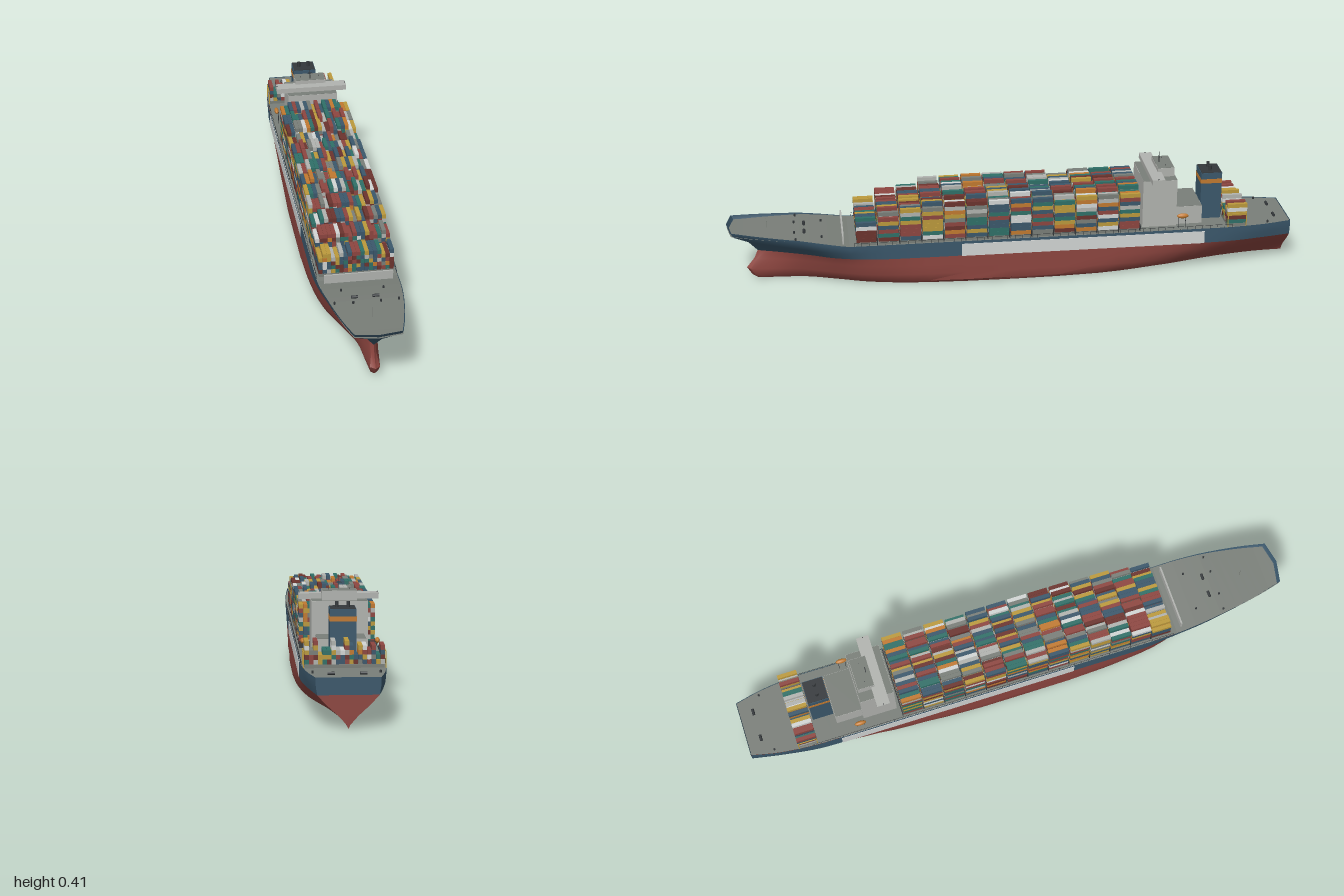
import * as THREE from 'three';
import { mergeGeometries, toCreasedNormals } from 'three/addons/utils/BufferGeometryUtils.js';

const paint = (name, color, side = THREE.FrontSide) => {
  const m = new THREE.MeshStandardMaterial({ color, side });
  m.name = name;
  return m;
};

const BEAM = 0.136;
const WATERLINE = 0.105;
const lerp = THREE.MathUtils.lerp;

// Height of the hull's upper edge, rising to the bow
function sheer(z) {
  if (z < 0.58) return 0.16;
  if (z < 0.74) return lerp(0.16, 0.186, (z - 0.58) / 0.16);
  return lerp(0.186, 0.21, (z - 0.74) / 0.26);
}
// The deck sinks behind a bulwark towards the bow
const deckHeight = z => sheer(z) - THREE.MathUtils.clamp((z - 0.6) * 0.04, 0.002, 0.014);

// Half-breadths as fractions of the beam, one list per waterline, stern to bow
const STATIONS = [-1, -0.9, -0.75, -0.55, -0.3, 0.3, 0.5, 0.65, 0.78, 0.9, 0.985];
const LINES = [
  { y: 0, stem: 0.9, w: [0, 0.03, 0.2, 0.55, 0.87, 0.87, 0.66, 0.37, 0.13, 0.06, 0.04] },
  { y: 0.012, stem: 0.918, w: [0.04, 0.12, 0.34, 0.73, 0.96, 0.96, 0.78, 0.48, 0.2, 0.13, 0.09] },
  { y: 0.04, stem: 0.936, w: [0.22, 0.35, 0.59, 0.9, 1, 1, 0.87, 0.58, 0.28, 0.18, 0.12] },
  { y: 0.075, stem: 0.908, w: [0.5, 0.66, 0.86, 0.98, 1, 1, 0.92, 0.66, 0.34, 0.14, 0.06] },
  { y: WATERLINE, stem: 0.895, w: [0.7, 0.84, 0.99, 1, 1, 1, 0.96, 0.78, 0.46, 0.2, 0.04] },
  { rise: 0.45, stem: 0.938, w: [0.73, 0.88, 1, 1, 1, 1, 0.99, 0.9, 0.69, 0.42, 0.2] },
  { rise: 0.83, stem: 0.988, w: [0.74, 0.9, 1, 1, 1, 1, 1, 0.97, 0.86, 0.7, 0.55] },
  { rise: 1, stem: 1, w: [0.74, 0.9, 1, 1, 1, 1, 1, 0.97, 0.87, 0.72, 0.57] },
];

// Smooth waterline, closed to the centreline at the transom and the stem
function waterline({ y, rise, stem, w }) {
  const place = s => (s < 0.5 ? s : 0.5 + (s - 0.5) * 2 * (stem - 0.5));
  const curve = new THREE.CatmullRomCurve3(
    STATIONS.map((s, i) => new THREE.Vector3(w[i] * BEAM, 0, place(s))));
  const pts = curve.getPoints((STATIONS.length - 1) * 4);
  pts.unshift(new THREE.Vector3(0, 0, -1));
  pts.push(new THREE.Vector3(0, 0, stem));
  for (const p of pts) {
    p.x = THREE.MathUtils.clamp(p.x, 0, BEAM);
    p.y = rise === undefined ? y : lerp(WATERLINE, sheer(p.z), rise);
  }
  return pts;
}

function fromPoints(points) {
  const g = new THREE.BufferGeometry().setFromPoints(points);
  g.computeVertexNormals();
  return g;
}

// Skin between successive waterlines on both sides
function hullSkin(rows) {
  const tri = [];
  const flip = p => new THREE.Vector3(-p.x, p.y, p.z);
  for (let j = 0; j + 1 < rows.length; j++) {
    for (let i = 0; i + 1 < rows[j].length; i++) {
      const a = rows[j][i], b = rows[j + 1][i], c = rows[j][i + 1], d = rows[j + 1][i + 1];
      tri.push(a, b, c, c, b, d);
      tri.push(...[a, c, b, c, d, b].map(flip));
    }
  }
  return toCreasedNormals(fromPoints(tri), 0.7);
}

// Deck surface spanning the upper edge
function deckSkin(edge) {
  const tri = [];
  const at = (p, side) => new THREE.Vector3(side * p.x * 0.99, deckHeight(p.z), p.z * 0.998);
  for (let i = 0; i + 1 < edge.length; i++) {
    const p = at(edge[i], -1), q = at(edge[i], 1), r = at(edge[i + 1], -1), s = at(edge[i + 1], 1);
    tri.push(p, r, q, q, r, s);
  }
  return fromPoints(tri);
}

// Box given by its limits
function block(x0, x1, y0, y1, z0, z1) {
  return new THREE.BoxGeometry(x1 - x0, y1 - y0, z1 - z0)
    .translate((x0 + x1) / 2, (y0 + y1) / 2, (z0 + z1) / 2);
}

export function createModel() {
  const ship = new THREE.Group();
  ship.name = 'containerShip';
  const blue = paint('hull blue', 0x3b586c, THREE.DoubleSide);
  const red = paint('hull red', 0x8e4640, THREE.DoubleSide);
  const brown = paint('brown', 0x6c342e);
  const teal = paint('teal', 0x2f7068);
  const orange = paint('orange', 0xc27a30);
  const yellow = paint('yellow', 0xbc9a3c);
  const white = paint('white', 0xd3d6d5);
  const houseGrey = paint('house grey', 0xb2b4b0);
  const deckGrey = paint('deck grey', 0x7a7f79);
  const dark = paint('dark fittings', 0x34383b);

  const add = (name, geo, mat) => {
    const m = new THREE.Mesh(Array.isArray(geo) ? mergeGeometries(geo) : geo, mat);
    m.name = name;
    ship.add(m);
  };
  const bothSides = make => [make(1), make(-1)];
  const post = (x, z, y0, y1, t) => block(x - t / 2, x + t / 2, y0, y1, z - t / 2, z + t / 2);

  // Hull
  const rows = LINES.map(waterline);
  const keel = rows[0].map(p => new THREE.Vector3(0, 0, p.z));
  add('hullBottom', hullSkin([keel, rows[0]]), brown);
  add('lowerHull', hullSkin(rows.slice(0, 5)), red);
  add('upperHull', hullSkin(rows.slice(4)), blue);
  add('deck', deckSkin(rows[7]), deckGrey);
  add('sideStripes', bothSides(s => block(s * 0.1345 - 0.003, s * 0.1345 + 0.003, 0.104, 0.15, -0.68, 0.185)), white);

  // Side railings
  const rails = bothSides(s => block(s * 0.134 - 0.0005, s * 0.134 + 0.0005, 0.1705, 0.1715, -0.78, 0.56));
  for (let z = -0.78; z < 0.57; z += 0.0268) rails.push(...bothSides(s => post(s * 0.134, z, 0.157, 0.171, 0.0012)));
  add('sideRailings', rails, dark);

  // Container bays, hatch covers and lashing bridges
  let seed = 7;
  const random = () => (seed = (seed * 16807) % 2147483647) / 2147483647;
  const palette = [red, red, red, blue, blue, blue, teal, teal, orange, yellow, yellow, white, houseGrey, brown, deckGrey];
  const stacks = new Map();
  const hatches = [], bridges = [];
  const bays = [5, 7, 8, 9, 10, 10, 10, 10, 10, 9, 10, 10, 10].map((tiers, i) => ({ tiers, z: 0.516 - i * 0.0773 }));
  for (const { z } of bays) bridges.push(block(-0.126, 0.126, 0.157, 0.18, z - 0.0395, z - 0.0365));
  bays.push({ tiers: 5, z: -0.798 });
  for (const { tiers, z } of bays) {
    hatches.push(block(-0.124, 0.124, 0.156, 0.169, z - 0.034, z + 0.034));
    for (let c = 0; c < 18; c++) {
      const x = (c - 8.5) * 0.014;
      const outer = c < 2 || c > 15 ? 1 : 0;
      const missing = z < -0.7 ? Math.floor(random() * 4) : (random() < 0.35 ? 1 : 0);
      const height = tiers - Math.max(missing, tiers > 9 ? outer : 0);
      for (let t = 0; t < height; t++) {
        const mat = palette[Math.floor(random() * palette.length)];
        const y = 0.17 + t * 0.0148;
        if (!stacks.has(mat)) stacks.set(mat, []);
        stacks.get(mat).push(block(x - 0.0067, x + 0.0067, y, y + 0.0144, z - 0.035, z + 0.035));
      }
    }
  }
  add('hatchCovers', hatches, deckGrey);
  add('lashingBridges', bridges, dark);
  for (const [mat, boxes] of stacks) add('containers ' + mat.name, boxes, mat);

  // Accommodation block with bridge wings and wheelhouse
  add('accommodation', [
    block(-0.092, 0.092, 0.155, 0.333, -0.585, -0.463),
    block(-0.08, 0.08, 0.155, 0.225, -0.68, -0.585),
  ], houseGrey);
  add('bridgeWings', block(-0.131, 0.131, 0.333, 0.352, -0.533, -0.488), houseGrey);
  add('wheelhouse', block(-0.057, 0.057, 0.333, 0.366, -0.58, -0.52), houseGrey);
  add('roofs', [
    block(-0.091, 0.091, 0.333, 0.334, -0.584, -0.464),
    block(-0.079, 0.079, 0.225, 0.226, -0.679, -0.585),
    block(-0.056, 0.056, 0.366, 0.367, -0.579, -0.521),
  ], deckGrey);

  // Radar mast and aerials
  add('radarMast', [
    post(0, -0.535, 0.366, 0.406, 0.002),
    block(-0.01, 0.01, 0.386, 0.387, -0.536, -0.534),
    block(-0.008, 0.008, 0.39, 0.391, -0.536, -0.534),
    ...bothSides(s => post(s * 0.035, -0.55, 0.366, 0.372, 0.0015)),
    ...bothSides(s => post(s * 0.128, -0.51, 0.352, 0.355, 0.003)),
  ], dark);

  // Funnel
  add('funnel', block(-0.042, 0.042, 0.155, 0.332, -0.757, -0.682), blue);
  add('funnelBand', block(-0.0428, 0.0428, 0.293, 0.309, -0.7578, -0.6812), orange);
  add('funnelTop', block(-0.04, 0.04, 0.332, 0.334, -0.755, -0.684), dark);
  add('exhaustPipes', [-0.018, 0.018].map(x =>
    new THREE.CylinderGeometry(0.006, 0.006, 0.02, 12).translate(x, 0.342, -0.718)), dark);

  // Lifeboats on davits
  add('lifeboats', bothSides(s => new THREE.SphereGeometry(1, 14, 8)
    .scale(0.008, 0.009, 0.021).translate(s * 0.121, 0.207, -0.602)), orange);
  add('davits', [-0.59, -0.614].flatMap(z => bothSides(s => post(s * 0.114, z, 0.156, 0.206, 0.0016))), dark);

  // Yellow frames beside the aft bay
  const frames = [];
  for (const z of [-0.765, -0.831]) frames.push(...bothSides(s => post(s * 0.129, z, 0.156, 0.21, 0.003)));
  frames.push(...bothSides(s => block(s * 0.129 - 0.0015, s * 0.129 + 0.0015, 0.207, 0.21, -0.831, -0.765)));
  add('aftFrames', frames, yellow);

  // Foredeck breakwater and foremast
  add('breakwater', block(-0.115, 0.115, 0.157, 0.192, 0.594, 0.6), houseGrey);
  add('foremast', post(0, 0.86, 0.18, 0.225, 0.0012), deckGrey);

  // Winches and bollards
  const fittings = [];
  for (const [x, z] of [[0.035, 0.73], [0.05, -0.95]]) {
    fittings.push(...bothSides(s => new THREE.CylinderGeometry(0.005, 0.005, 0.022, 10)
      .rotateZ(Math.PI / 2).translate(s * x, deckHeight(z) + 0.005, z)));
  }
  for (const [x, z] of [[0.07, 0.67], [0.105, 0.76], [0.045, 0.765], [0.105, -0.915]]) {
    fittings.push(...bothSides(s => new THREE.CylinderGeometry(0.0035, 0.0035, 0.008, 8)
      .translate(s * x, deckHeight(z) + 0.004, z)));
  }
  add('mooringGear', fittings, dark);

  return ship;
}
